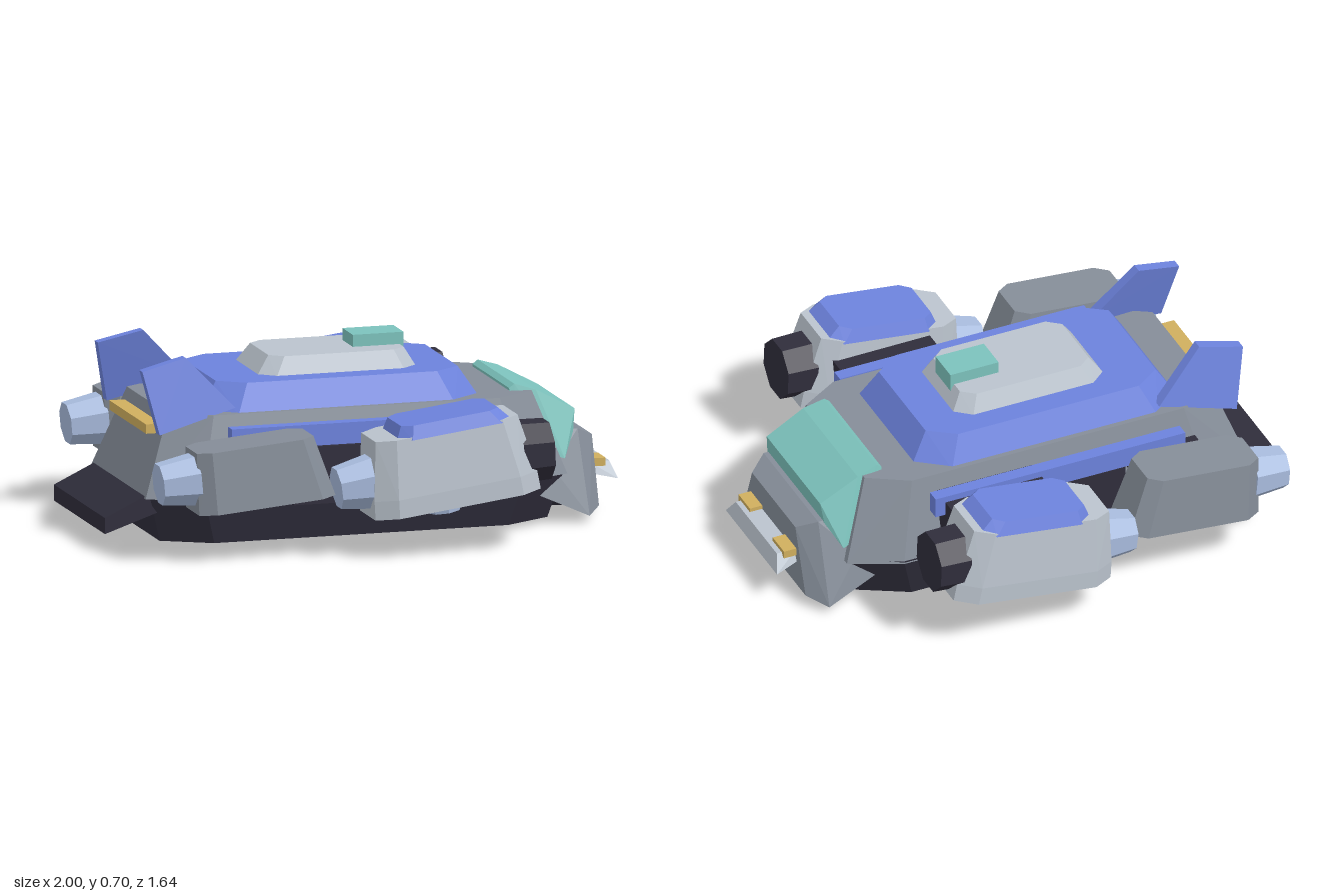
import * as THREE from 'three';
import { ConvexGeometry } from 'three/addons/geometries/ConvexGeometry.js';

const paint = (name, color) => {
  const m = new THREE.MeshStandardMaterial({ color });
  m.name = name;
  return m;
};

export function createModel() {
  const hullGray = paint('hull gray', 0x858d98);
  const paleGray = paint('pale gray', 0xbac3cd);
  const blue = paint('blue', 0x6c82dc);
  const teal = paint('teal', 0x7cc2bc);
  const dark = paint('dark', 0x2f2d3b);
  const steel = paint('steel blue', 0xa8bbdd);
  const gold = paint('gold', 0xcfae5e);

  const model = new THREE.Group();
  model.name = 'hoverCraft';

  const add = (parent, name, geometry, material, x = 0, y = 0, z = 0) => {
    const mesh = new THREE.Mesh(geometry, material);
    mesh.name = name;
    mesh.position.set(x, y, z);
    parent.add(mesh);
    return mesh;
  };
  const box = (parent, name, material, [x0, x1], [y0, y1], [z0, z1]) =>
    add(parent, name, new THREE.BoxGeometry(x1 - x0, y1 - y0, z1 - z0), material,
      (x0 + x1) / 2, (y0 + y1) / 2, (z0 + z1) / 2);
  const solid = (points) =>
    new ConvexGeometry(points.map(([x, y, z]) => new THREE.Vector3(x, y, z)));
  // Solid symmetric across z, from one side's corners
  const mirrored = (points) =>
    solid(points.flatMap(([x, y, z]) => [[x, y, z], [x, y, -z]]));
  // Corner-cut slab: each level is [y, x0, x1, halfWidth, cutX, cutZ]
  const slab = (...levels) => mirrored(levels.flatMap(([y, x0, x1, w, cx, cz]) => [
    [x0, y, w - cz], [x0 + cx, y, w], [x1 - cx, y, w], [x1, y, w - cz]]));
  // Eight-sided drum along x
  const drum = (rBack, rFront, length) =>
    new THREE.CylinderGeometry(rFront, rBack, length, 8).rotateY(Math.PI / 8)
      .rotateZ(-Math.PI / 2).toNonIndexed();
  const flat = (geometry) => {
    const g = geometry.index ? geometry.toNonIndexed() : geometry;
    g.computeVertexNormals();
    return g;
  };

  // Body layers, bottom to top
  add(model, 'undercarriage', slab(
    [0.02, -0.78, 0.71, 0.385, 0.18, 0.1], [0.2, -0.83, 0.76, 0.43, 0.18, 0.1]), dark);
  add(model, 'hull', slab(
    [0.19, -0.85, 0.77, 0.43, 0.19, 0.09], [0.49, -0.74, 0.66, 0.345, 0.15, 0.09]), hullGray);
  add(model, 'deck', slab(
    [0.48, -0.61, 0.46, 0.33, 0.12, 0.09], [0.59, -0.54, 0.39, 0.275, 0.1, 0.07]), blue);
  add(model, 'roof', slab(
    [0.585, -0.36, 0.25, 0.19, 0.06, 0.05], [0.655, -0.31, 0.21, 0.155, 0.05, 0.04]), paleGray);
  box(model, 'roofSensor', teal, [0.03, 0.225], [0.62, 0.7], [-0.065, 0.065]);

  // Cockpit and nose
  add(model, 'canopy', mirrored([
    [0.58, 0.5, 0.23], [0.6, 0.515, 0.23], [0.68, 0.49, 0.24], [0.83, 0.41, 0.235],
    [0.82, 0.33, 0.25], [0.77, 0.24, 0.31], [0.6, 0.3, 0.28]]), teal);
  add(model, 'nose', mirrored([
    [0.65, 0.12, 0.35], [0.72, 0.21, 0.32], [0.78, 0.335, 0.24], [0.84, 0.335, 0.24],
    [0.91, 0.3, 0.19], [0.91, 0.05, 0.28], [0.85, 0.03, 0.36]]), hullGray);
  add(model, 'bumper', mirrored([
    [0.9, 0.195, 0.18], [0.98, 0.195, 0.18], [1, 0.135, 0.225], [0.9, 0.155, 0.2]]), paleGray);
  for (const s of [-1, 1])
    add(model, 'headlight', new THREE.BoxGeometry(0.05, 0.03, 0.1), gold, 0.935, 0.195, s * 0.15);

  // Half-round sensor under the nose
  const chin = new THREE.Group();
  chin.name = 'chinSensor';
  chin.position.set(0.84, 0.09, 0);
  chin.scale.set(0.115, 0.09, 0.085);
  model.add(chin);
  add(chin, 'chinDome', flat(new THREE.SphereGeometry(1, 10, 4, 0, Math.PI * 2, Math.PI / 2, Math.PI / 2)), dark);
  add(chin, 'chinTop', new THREE.CircleGeometry(1, 10).rotateX(-Math.PI / 2), dark);

  // Tail ramp and rear light bar
  add(model, 'tailRamp', mirrored([
    [-1, 0.065, 0.32], [-1, 0.125, 0.32], [-0.8, 0.22, 0.32], [-0.78, 0.14, 0.32]]), dark);
  add(model, 'rearLight', new THREE.BoxGeometry(0.06, 0.035, 0.46), gold, -0.785, 0.43, 0);

  for (const s of [-1, 1]) {
    const side = s > 0 ? 'left' : 'right';
    const span = (a, b) => (s > 0 ? [a, b] : [-b, -a]);

    // Leaning tail fin
    add(model, side + 'Fin', solid([
      [-0.8, 0.43, 0.355], [-0.8, 0.43, 0.31], [-0.5, 0.51, 0.325], [-0.5, 0.51, 0.28],
      [-0.85, 0.66, 0.3], [-0.85, 0.66, 0.26], [-0.68, 0.7, 0.285], [-0.68, 0.7, 0.245],
    ].map(([x, y, z]) => [x, y, s * z])), blue);

    // Side rail, skirt and pod mounts
    box(model, side + 'Rail', blue, [-0.55, 0.46], [0.375, 0.455], span(0.395, 0.445));
    box(model, side + 'Skirt', dark, [-0.31, 0.42], [0.155, 0.37], span(0.34, 0.44));
    box(model, side + 'FrontMount', dark, [0.03, 0.42], [0.29, 0.43], span(0.36, 0.56));
    box(model, side + 'RearMount', dark, [-0.62, -0.34], [0.25, 0.38], span(0.36, 0.5));

    // Front engine pod
    const front = new THREE.Group();
    front.name = side + 'FrontPod';
    front.position.set(0.2, 0.34, s * 0.672);
    front.rotation.z = 0.13;
    model.add(front);
    add(front, 'podBody', slab(
      [-0.15, -0.32, 0.32, 0.148, 0.08, 0.05], [-0.08, -0.315, 0.315, 0.148, 0.08, 0.05],
      [0.14, -0.28, 0.27, 0.13, 0.07, 0.04]), paleGray);
    add(front, 'podCap', slab(
      [0.13, -0.2, 0.245, 0.135, 0.05, 0.04], [0.18, -0.175, 0.2, 0.115, 0.04, 0.03]), blue);
    add(front, 'podIntake', flat(drum(0.12, 0.115, 0.12)), dark, 0.33, -0.025).rotation.z = -0.09;
    add(front, 'podNozzle', flat(drum(0.08, 0.105, 0.14)), steel, -0.355, -0.025);
    add(front, 'podLifter', flat(new THREE.CylinderGeometry(0.075, 0.065, 0.06, 8)), steel, -0.03, -0.155);

    // Rear engine pod
    const rear = new THREE.Group();
    rear.name = side + 'RearPod';
    rear.position.set(-0.49, 0.325, s * 0.583);
    rear.rotation.z = 0.09;
    model.add(rear);
    add(rear, 'podBody', slab(
      [-0.115, -0.265, 0.26, 0.125, 0.06, 0.04], [0.115, -0.25, 0.2, 0.105, 0.05, 0.035]), hullGray);
    add(rear, 'podNozzle', flat(drum(0.08, 0.1, 0.14)), steel, -0.315, 0.005);
  }
  return model;
}
